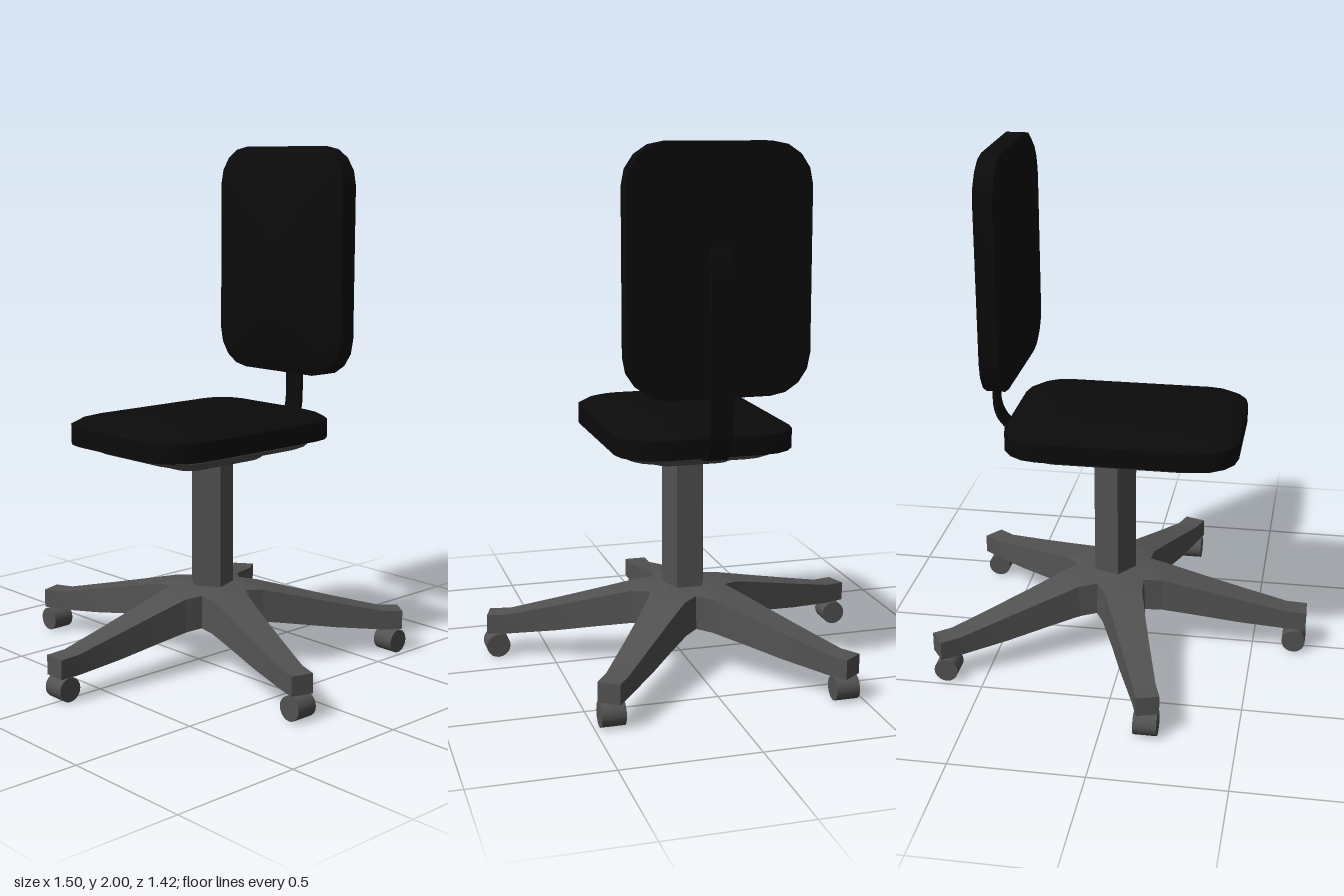
import * as THREE from 'three';
import { toCreasedNormals } from 'three/addons/utils/BufferGeometryUtils.js';

const black = new THREE.MeshStandardMaterial({ color: 0x0b0b0b });
const grey = new THREE.MeshStandardMaterial({ color: 0x525252 });

// Skin a stack of equal-length rings (counter-clockwise seen from the last one) and cap both ends
function loft(rings, crease = 0.6) {
  const pos = [];
  const tri = (...pts) => pts.forEach((p) => pos.push(p.x, p.y, p.z));
  const n = rings[0].length;
  const centre = (ring) =>
    ring.reduce((sum, p) => sum.add(p), new THREE.Vector3()).divideScalar(n);
  const first = rings[0], last = rings[rings.length - 1];
  const c0 = centre(first), c1 = centre(last);
  for (let i = 0; i < n; i++) {
    const j = (i + 1) % n;
    for (let k = 0; k + 1 < rings.length; k++) {
      const a = rings[k], b = rings[k + 1];
      tri(a[i], a[j], b[j]);
      tri(a[i], b[j], b[i]);
    }
    tri(c0, first[j], first[i]);
    tri(c1, last[i], last[j]);
  }
  const geo = new THREE.BufferGeometry();
  geo.setAttribute('position', new THREE.Float32BufferAttribute(pos, 3));
  return toCreasedNormals(geo, crease);
}

// Horizontal rounded rectangle at height y
function roundedRing(halfX, halfZ, radius, y, steps = 4) {
  const ring = [];
  const corners = [[1, 1], [1, -1], [-1, -1], [-1, 1]];
  corners.forEach(([sx, sz], q) => {
    for (let s = 0; s <= steps; s++) {
      const a = (q + s / steps) * Math.PI / 2;
      ring.push(new THREE.Vector3(
        sx * (halfX - radius) + radius * Math.sin(a), y,
        sz * (halfZ - radius) + radius * Math.cos(a)));
    }
  });
  return ring;
}

// Rounded slab from [height, inset] levels, listed upwards
const slab = (halfX, halfZ, radius, levels) =>
  loft(levels.map(([y, inset]) =>
    roundedRing(halfX - inset, halfZ - inset, radius - inset * 0.6, y)));

function add(parent, name, geometry, material, x = 0, y = 0, z = 0) {
  const mesh = new THREE.Mesh(geometry, material);
  mesh.name = name;
  mesh.position.set(x, y, z);
  parent.add(mesh);
  return mesh;
}

export function createModel() {
  const chair = new THREE.Group();
  chair.name = 'swivelChair';
  const hubZ = -0.06;

  // Seat and backrest share one cushion shape, chamfered on the sitting side
  const cushion = slab(0.336, 0.446, 0.15, [[0, 0], [0.072, 0], [0.09, 0.03], [0.1, 0.065]]);
  add(chair, 'seat', cushion, black, 0, 0.885, -0.008);
  add(chair, 'backrest', cushion, black, 0, 1.557, -0.505).rotation.x = Math.PI / 2;

  // Stepped plates below the seat, rounded at the bottom
  add(chair, 'seatPan', slab(0.295, 0.375, 0.13,
    [[0, 0.03], [0.008, 0.012], [0.02, 0], [0.037, 0]]), grey, 0, 0.849, -0.01);
  add(chair, 'mountingPlate', slab(0.17, 0.22, 0.07,
    [[0, 0.025], [0.01, 0.008], [0.025, 0], [0.047, 0]]), grey, 0, 0.804, -0.01);

  // Flat bent strip carrying the backrest: centre line in (z, y), thickened and extruded in x
  const line = new THREE.CurvePath();
  const v = (z, y) => new THREE.Vector2(z, y);
  line.add(new THREE.LineCurve(v(-0.38, 0.88), v(-0.43, 0.88)));
  line.add(new THREE.CubicBezierCurve(v(-0.43, 0.88), v(-0.49, 0.88), v(-0.528, 0.935), v(-0.528, 1.0)));
  line.add(new THREE.LineCurve(v(-0.528, 1.0), v(-0.528, 1.53)));
  line.add(new THREE.CubicBezierCurve(v(-0.528, 1.53), v(-0.528, 1.58), v(-0.515, 1.61), v(-0.502, 1.64)));
  const mid = line.curves.flatMap((c, i) => c.getPoints(i % 2 ? 10 : 1).slice(i ? 1 : 0));
  const offset = (d) => mid.map((p, i) => {
    const t = mid[Math.min(i + 1, mid.length - 1)].clone().sub(mid[Math.max(i - 1, 0)]).normalize();
    return v(p.x - t.y * d, p.y + t.x * d);
  });
  const strip = new THREE.Shape([...offset(0.007), ...offset(-0.007).reverse()]);
  const bar = new THREE.ExtrudeGeometry(strip, { depth: 0.082, bevelEnabled: false });
  bar.rotateY(-Math.PI / 2);
  // the rotation sends shape x to z and the extrusion to -x
  add(chair, 'backrestBar', toCreasedNormals(bar, 0.6), black, 0.041, 0, 0);

  // Five-sided column
  const column = new THREE.CylinderGeometry(0.087, 0.087, 0.54, 5).toNonIndexed();
  column.computeVertexNormals();
  add(chair, 'column', column, grey, 0, 0.54, hubZ - 0.005);

  // Star base: a hub with filleted valleys, then five tapering arms
  const base = new THREE.Group();
  base.name = 'starBase';
  base.position.z = hubZ;
  chair.add(base);

  const root = { r: 0.2, w: 0.082, top: 0.287, bottom: 0.16 };
  const narrow = 0.9;
  const up = new THREE.Vector3(0, 1, 0);
  const hubRing = (y, valleyY, taper, scale = 1) => {
    const ring = [];
    for (let k = 0; k < 5; k++) {
      const a = k * Math.PI * 0.4;
      const valley = 0.165 * (taper < 1 ? 0.96 : 1);
      ring.push(
        new THREE.Vector3(-root.w * taper * scale, y, root.r * scale).applyAxisAngle(up, a),
        new THREE.Vector3(root.w * taper * scale, y, root.r * scale).applyAxisAngle(up, a),
        new THREE.Vector3(0, valleyY, valley * scale).applyAxisAngle(up, a + Math.PI / 5));
    }
    return ring;
  };
  add(base, 'hub', loft([
    hubRing(root.bottom, 0.165, 1),
    hubRing(root.top, 0.294, narrow),
    hubRing(0.305, 0.305, narrow, 0.6)]), grey);

  const sections = [
    root,
    { r: 0.35, w: 0.069, top: 0.252, bottom: 0.139 },
    { r: 0.5, w: 0.059, top: 0.217, bottom: 0.118 },
    { r: 0.69, w: 0.043, top: 0.174, bottom: 0.097 },
    { r: 0.77, w: 0.043, top: 0.171, bottom: 0.097 },
  ];
  const armGeo = loft(sections.map(({ r, w, top, bottom }, i) => {
    const wt = i < 3 ? w * narrow : w;
    return [[-w, bottom], [w, bottom], [wt, top], [-wt, top]]
      .map(([x, y]) => new THREE.Vector3(x, y, r));
  }), 0.3);
  for (let k = 0; k < 5; k++) add(base, 'arm', armGeo, grey).rotation.y = k * Math.PI * 0.4;

  // Casters: axles run along x at front and back, along z at the sides
  const wheel = new THREE.CylinderGeometry(0.046, 0.046, 0.088, 20);
  const pin = new THREE.CylinderGeometry(0.014, 0.014, 0.06, 10);
  const casters = [
    [-0.01, 0.665, true],
    [0.703, 0.168, false], [-0.703, 0.168, false],
    [0.435, -0.645, true], [-0.435, -0.645, true],
  ];
  for (const [x, z, alongX] of casters) {
    const caster = add(chair, 'casterWheel', wheel, grey, x, 0.046, z);
    if (alongX) caster.rotation.z = Math.PI / 2;
    else caster.rotation.x = Math.PI / 2;
    add(chair, 'casterPin', pin, grey, x, 0.09, z);
  }
  return chair;
}
